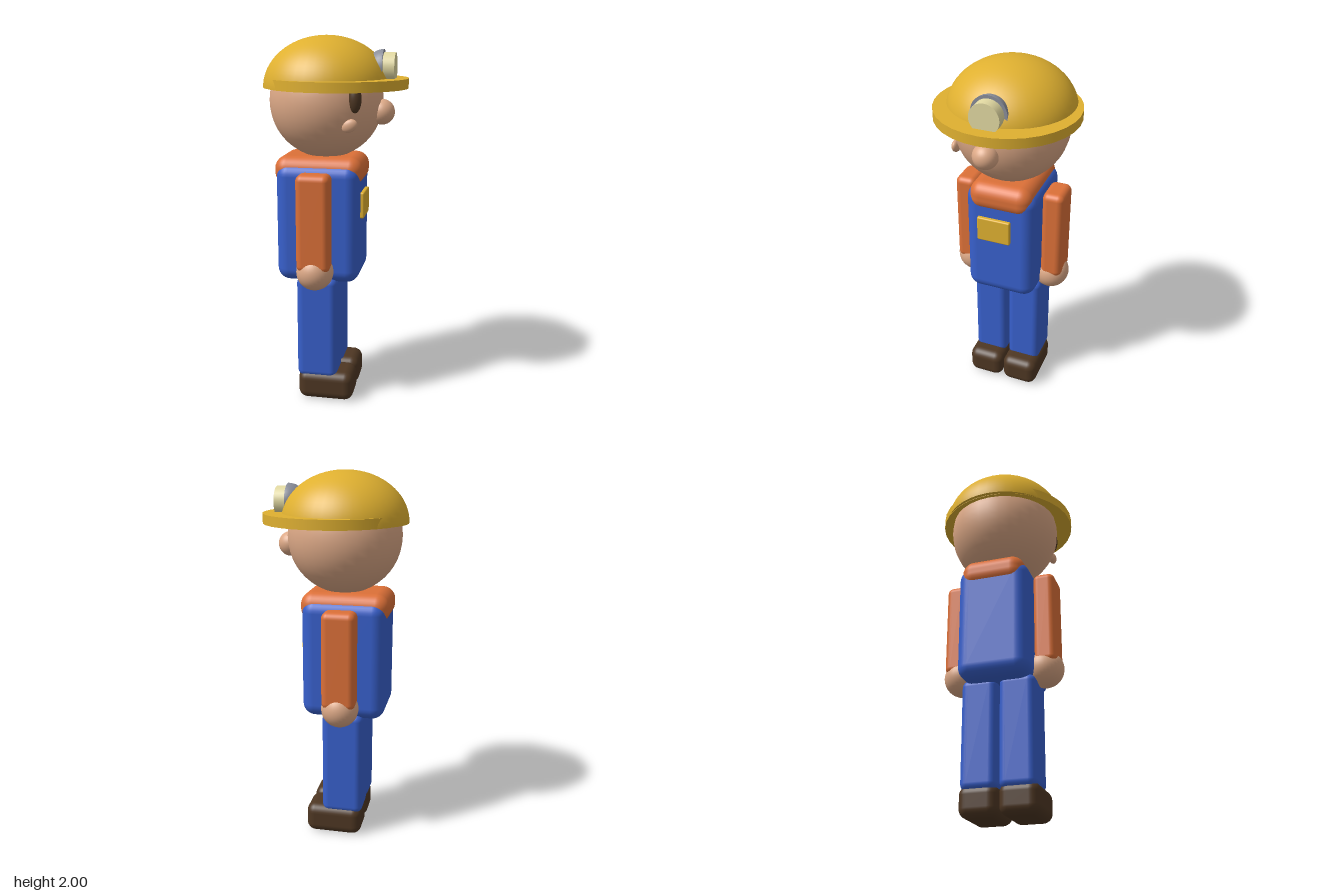
import * as THREE from 'three';
import { RoundedBoxGeometry } from 'three/addons/geometries/RoundedBoxGeometry.js';

const material = (name, color) => {
  const m = new THREE.MeshStandardMaterial({ color });
  m.name = name;
  return m;
};

export function createModel() {
  const yellow = material('helmetYellow', 0xdfb030);
  const skin = material('skin', 0xdca886);
  const orange = material('shirtOrange', 0xdc7038);
  const blue = material('overallBlue', 0x3860cc);
  const brown = material('darkBrown', 0x4e3723);
  const grey = material('lampGrey', 0x8a8e9a);
  const cream = material('lensCream', 0xe2d9a2);

  const model = new THREE.Group();
  model.name = 'miner';

  const add = (name, geometry, mat, x, y, z) => {
    const mesh = new THREE.Mesh(geometry, mat);
    mesh.name = name;
    mesh.position.set(x, y, z);
    model.add(mesh);
    return mesh;
  };
  // Rounded box given by its extents along each axis
  const box = (name, mat, [x0, x1], [y0, y1], [z0, z1], r) =>
    add(name, new RoundedBoxGeometry(x1 - x0, y1 - y0, z1 - z0, 4, r), mat,
      (x0 + x1) / 2, (y0 + y1) / 2, (z0 + z1) / 2);
  // Ellipsoid given by its centre and radii
  const ball = (name, mat, x, y, z, rx, ry = rx, rz = rx) =>
    add(name, new THREE.SphereGeometry(1, 32, 24).scale(rx, ry, rz), mat, x, y, z);

  // Limbs, mirrored; the figure looks along +x
  for (const s of [1, -1]) {
    const side = s > 0 ? 'Near' : 'Far';
    const span = (a, b) => (s > 0 ? [a, b] : [-b, -a]);
    box('shoe' + side, brown, [-0.18, 0.13], [0, 0.165], span(0.002, 0.21), 0.05);
    box('leg' + side, blue, [-0.185, 0.04], [0.13, 0.72], span(0.006, 0.2), 0.04);
    box('sleeve' + side, orange, [-0.16, 0.02], [0.78, 1.305], span(0.19, 0.31), 0.035);
    ball('hand' + side, skin, -0.07, 0.77, s * 0.232, 0.1);
  }

  // Body
  box('overalls', blue, [-0.297, 0.155], [0.69, 1.34], [-0.195, 0.195], 0.07);
  box('shirtCollar', orange, [-0.31, 0.167], [1.215, 1.375], [-0.175, 0.175], 0.07);
  box('chestPocket', yellow, [0.14, 0.175], [1.045, 1.185], [-0.07, 0.115], 0.008);

  // Head and face
  ball('head', skin, -0.05, 1.66, 0, 0.305);
  ball('nose', skin, 0.253, 1.607, 0.022, 0.067);
  ball('eye', brown, 0.143, 1.69, 0.238, 0.033, 0.07, 0.029);
  ball('cheekBump', skin, 0.116, 1.556, 0.243, 0.043, 0.032, 0.02).rotation.z = 0.5;

  // Helmet
  const dome = new THREE.SphereGeometry(1, 40, 20, 0, Math.PI * 2, 0, Math.PI / 2);
  add('helmetDome', dome.scale(0.338, 0.27, 0.337), yellow, -0.049, 1.73, 0);
  add('helmetBase', new THREE.CircleGeometry(0.337, 40).rotateX(Math.PI / 2),
    yellow, -0.049, 1.73, 0);
  add('helmetBrim', new THREE.CylinderGeometry(0.377, 0.377, 0.052, 32), yellow, 0.01, 1.754, 0);

  // Headlamp, pointing along +x
  const shell = new THREE.SphereGeometry(0.095, 32, 12, 0, Math.PI * 2, 0, Math.PI / 2);
  add('lampHousing', shell.rotateZ(Math.PI / 2), grey, 0.257, 1.834, 0);
  add('lampRim', new THREE.CircleGeometry(0.095, 32).rotateY(Math.PI / 2), grey, 0.257, 1.834, 0);
  add('lampLens', new THREE.CylinderGeometry(0.079, 0.079, 0.064, 32).rotateZ(-Math.PI / 2),
    cream, 0.286, 1.834, 0);

  return model;
}
